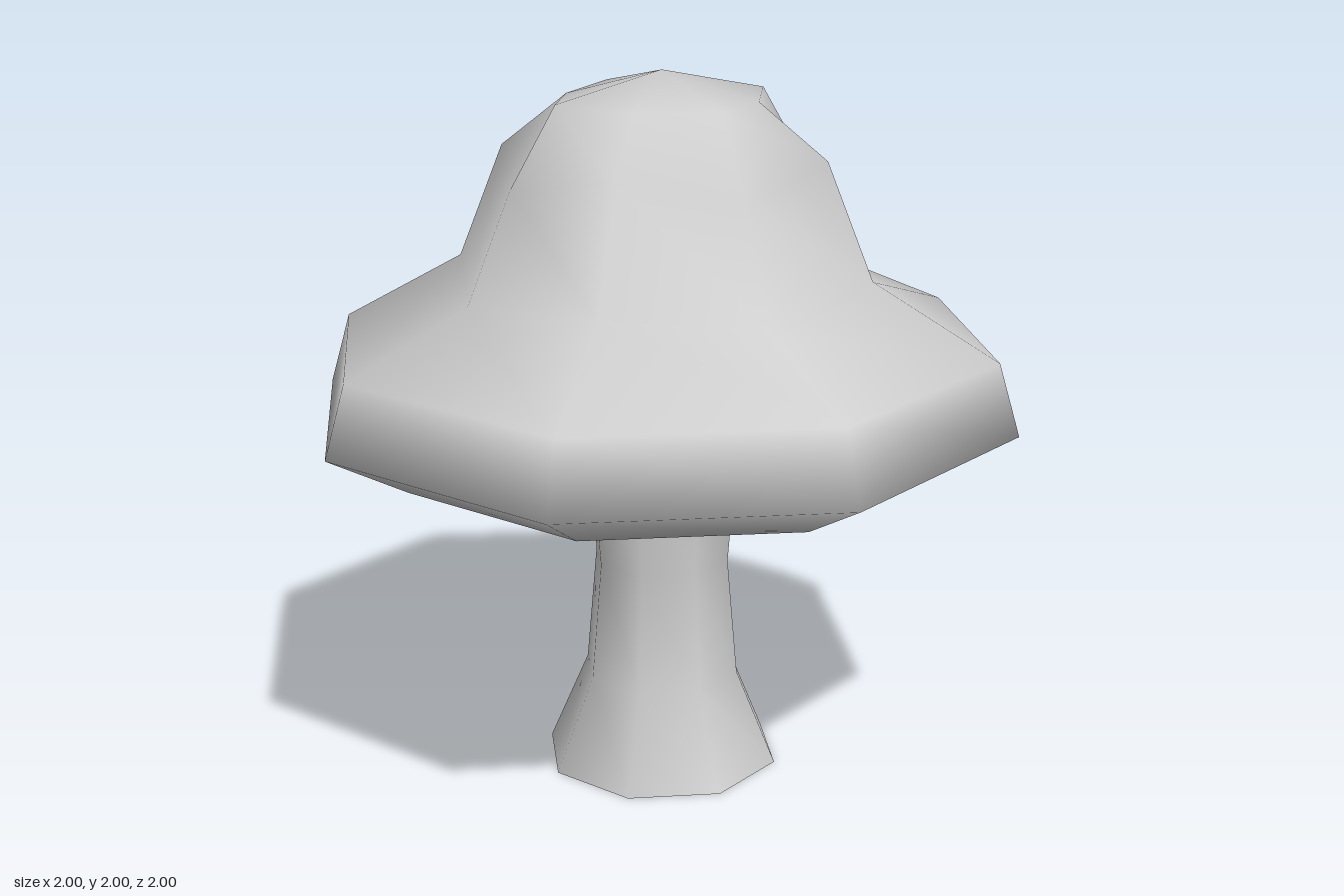
import * as THREE from 'three';
import { mergeVertices } from 'three/addons/utils/BufferGeometryUtils.js';

const SIDES = 8;

// Each ring is [radius, y], with optional [radius, y] for its diagonal corners.
function ringedSolid(name, rings, material) {
  let geometry = new THREE.LatheGeometry(rings.map(([r, y]) => new THREE.Vector2(r, y)), SIDES);
  const position = geometry.attributes.position;
  for (let side = 0; side <= SIDES; side++) {
    const angle = (side % SIDES) * Math.PI * 2 / SIDES;
    rings.forEach(([r, y, diagonalR = r, diagonalY = y], i) => {
      const radius = side % 2 ? diagonalR : r;
      position.setXYZ(side * rings.length + i,
        Math.sin(angle) * radius, side % 2 ? diagonalY : y, Math.cos(angle) * radius);
    });
  }
  // Weld the seam so the whole surface shades smoothly
  geometry.deleteAttribute('uv');
  geometry.deleteAttribute('normal');
  geometry = mergeVertices(geometry, 1e-4);
  geometry.computeVertexNormals();
  const mesh = new THREE.Mesh(geometry, material);
  mesh.name = name;
  return mesh;
}

export function createModel() {
  const group = new THREE.Group();
  group.name = 'mushroom';
  const material = new THREE.MeshStandardMaterial({ color: 0xcccccc });

  // Flared stem
  group.add(ringedSolid('stem', [
    [0.34, 0], [0.225, 0.27], [0.195, 0.61], [0.22, 0.925],
  ], material));

  // Flat foot under the stem
  const foot = new THREE.Mesh(new THREE.CircleGeometry(0.34, SIDES), material);
  foot.rotation.x = Math.PI / 2;
  foot.name = 'stemFoot';
  group.add(foot);

  // Cap: flat underside, thick brim, uneven crown and a low peak
  group.add(ringedSolid('cap', [
    [0.2, 0.925],
    [0.77, 0.925],
    [1, 1.05],
    [0.94, 1.25],
    [0.585, 1.41, 0.59, 1.45],
    [0.455, 1.71, 0.46, 1.77],
    [0.32, 1.925, 0.27, 1.92],
    [0, 1.995],
  ], material));

  return group;
}
